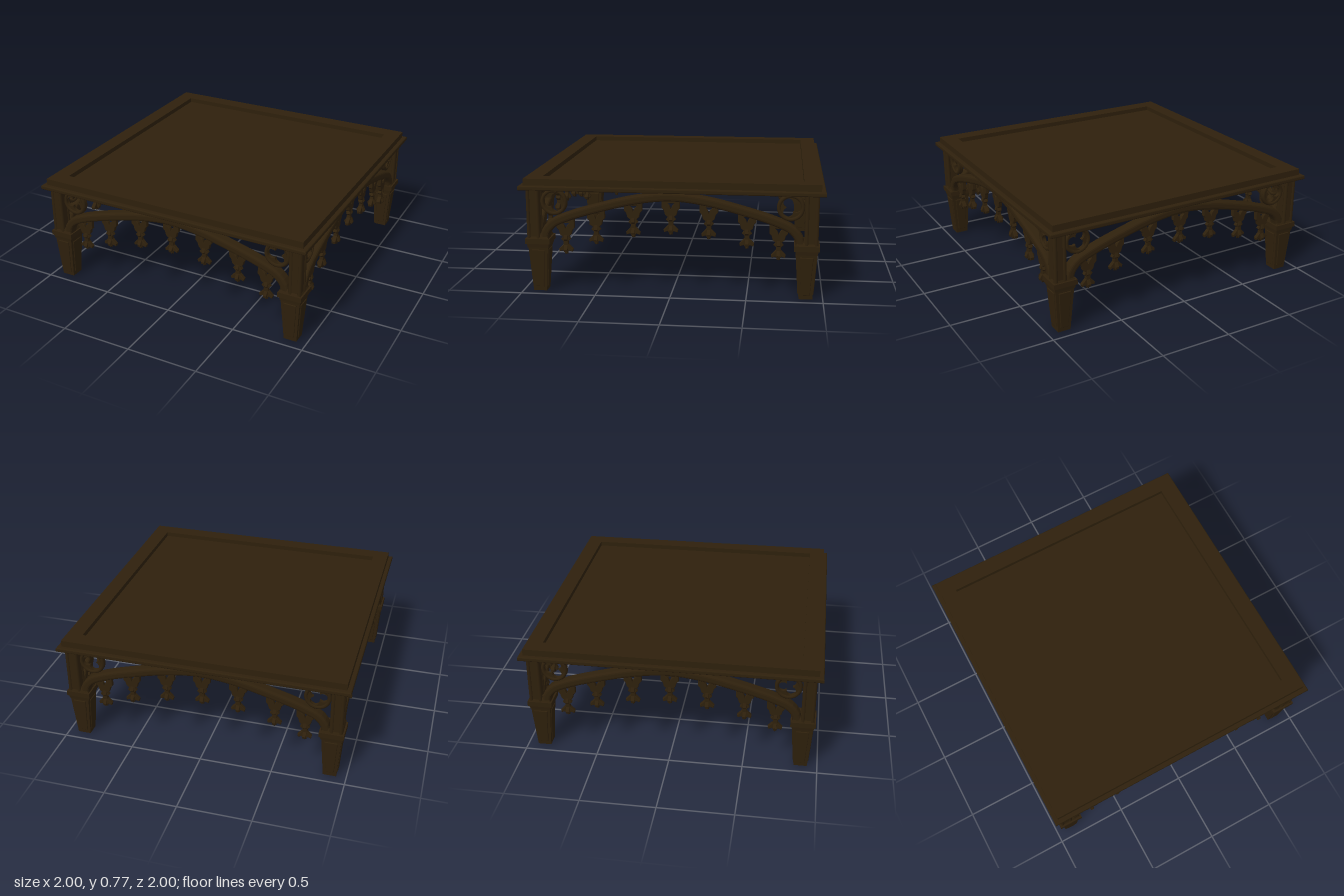
import * as THREE from 'three';

const wood = new THREE.MeshStandardMaterial({ color: 0x2e200c });
wood.name = 'dark wood';
const lining = new THREE.MeshStandardMaterial({ color: 0x61432f });
lining.name = 'underside lining';

const PLANE = 0.915; // distance of each arcade from the centre
const LEG = 0.887; // distance of each leg from the centre
const POST = PLANE - LEG; // posts sit towards the outer corner

function add(parent, name, geometry, x = 0, y = 0, z = 0, material = wood) {
  const mesh = new THREE.Mesh(geometry, material);
  mesh.name = name;
  mesh.position.set(x, y, z);
  parent.add(mesh);
  return mesh;
}

// extrusion centred on z = 0, total thickness = depth
function slab(shape, depth, bevel = 0) {
  const g = new THREE.ExtrudeGeometry(shape, {
    depth: depth - 2 * bevel, curveSegments: 24, bevelEnabled: bevel > 0,
    bevelThickness: bevel, bevelSize: bevel, bevelOffset: -bevel, bevelSegments: 3,
  });
  return g.translate(0, 0, -depth / 2 + bevel);
}

const toPoints = list => list.map(p => new THREE.Vector2(...p));
const square = h => toPoints([[-h, -h], [h, -h], [h, h], [-h, h]]);

// mirrored outline from one side, closed at the bottom by a tip
const mirrored = (side, tip) =>
  new THREE.Shape(toPoints([...side.map(([x, y]) => [-x, y]), tip, ...side.slice().reverse()]));

// square tapered block, standing on y = 0
function taper(top, bottom, height) {
  const g = new THREE.CylinderGeometry(top * Math.SQRT1_2, bottom * Math.SQRT1_2, height, 4, 1).toNonIndexed();
  g.rotateY(Math.PI / 4).translate(0, height / 2, 0);
  g.computeVertexNormals();
  return g;
}

// centre line of the flattened arch
const half = [[0.845, 0.35], [0.835, 0.41], [0.79, 0.467], [0.69, 0.515], [0.47, 0.583], [0.22, 0.643]];
const archLine = new THREE.CatmullRomCurve3([
  ...half.map(([x, y]) => new THREE.Vector3(-x, y, 0)),
  new THREE.Vector3(0, 0.666, 0),
  ...half.slice().reverse().map(([x, y]) => new THREE.Vector3(x, y, 0)),
]);

function archBand(width) {
  const outer = [], inner = [];
  for (let i = 0; i <= 60; i++) {
    const p = archLine.getPointAt(i / 60), t = archLine.getTangentAt(i / 60);
    outer.push(new THREE.Vector2(p.x - t.y * width / 2, p.y + t.x * width / 2));
    inner.push(new THREE.Vector2(p.x + t.y * width / 2, p.y - t.x * width / 2));
  }
  return new THREE.Shape([...inner, ...outer.reverse()]);
}

// hanging ornament: pierced bracket, stem and pointed leaf
function pendantShape() {
  const shape = mirrored([[0.06, 0.02], [0.06, -0.045], [0.046, -0.06], [0.038, -0.09], [0.02, -0.105], [0.032, -0.122],
    [0.015, -0.138], [0.017, -0.158], [0.048, -0.19], [0.044, -0.208], [0.02, -0.2]], [0, -0.226]);
  shape.holes.push(new THREE.Path(toPoints(
    [[-0.026, -0.012], [0.026, -0.012], [0.009, -0.03], [0, -0.052], [-0.009, -0.03]])));
  return shape;
}

// narrower leaf crossing the pendant
const finialShape = mirrored([[0.01, -0.08], [0.024, -0.122], [0.01, -0.138], [0.012, -0.158],
  [0.032, -0.19], [0.028, -0.206], [0.012, -0.2]], [0, -0.226]);

// circular rosette pierced by a trefoil
function rosetteShape() {
  const shape = new THREE.Shape().absarc(0, 0, 0.088, 0, Math.PI * 2);
  const pts = [];
  for (let i = 0; i < 48; i++) {
    const phi = ((i % 16) / 16 - 0.5) * Math.PI * 2 / 3, a = i * Math.PI / 24;
    const r = 0.035 * Math.cos(phi) + Math.sqrt(0.032 ** 2 - (0.035 * Math.sin(phi)) ** 2);
    pts.push(new THREE.Vector2(r * Math.cos(a), r * Math.sin(a)));
  }
  shape.holes.push(new THREE.Path(pts));
  return shape;
}

const archGeo = slab(archBand(0.058), 0.078, 0.018);
const pendantGeo = slab(pendantShape(), 0.028, 0.004);
const finialGeo = slab(finialShape, 0.024, 0.003).rotateY(Math.PI / 2);
const rosetteGeo = slab(rosetteShape(), 0.024);
const rimGeo = new THREE.TorusGeometry(0.077, 0.013, 8, 32);

function makeArcade(flipped) {
  const arcade = new THREE.Group();
  arcade.name = 'arcade';
  add(arcade, 'arch', archGeo);
  const tops = [[0, 0.635], [0.249, 0.612], [0.498, 0.555], [0.704, 0.483]];
  for (const [x, y] of tops) for (const s of x ? [-1, 1] : [1]) {
    add(arcade, 'pendant', pendantGeo, s * x, y);
    add(arcade, 'pendantLeaf', finialGeo, s * x, y);
  }
  for (const s of [-1, 1]) {
    const rosette = add(arcade, 'rosette', rosetteGeo, s * 0.778, 0.612);
    if (flipped && s > 0) rosette.rotation.z = Math.PI;
    for (const z of [-0.008, 0.008]) add(arcade, 'rosetteRim', rimGeo, s * 0.778, 0.612, z);
  }
  return arcade;
}

function makeLeg() {
  const leg = new THREE.Group();
  leg.name = 'leg';
  add(leg, 'foot', taper(0.134, 0.09, 0.32));
  // raised tapered panel on each face
  const panel = new THREE.Shape(toPoints([[-0.028, 0.03], [0.028, 0.03], [0.044, 0.29], [-0.044, 0.29]]));
  for (let i = 0; i < 4; i++) {
    const g = slab(panel, 0.012, 0.004).rotateX(Math.atan(0.022 / 0.32)).translate(0, 0, 0.0445).rotateY(i * Math.PI / 2);
    add(leg, 'footPanel', g);
  }
  add(leg, 'lowerCollar', taper(0.15, 0.14, 0.03), 0, 0.305);
  add(leg, 'collar', new THREE.BoxGeometry(0.166, 0.035, 0.166), 0, 0.35);
  add(leg, 'upperCollar', taper(0.12, 0.145, 0.03), 0, 0.365);
  // post with corner reeds
  add(leg, 'post', new THREE.BoxGeometry(0.076, 0.34, 0.076), POST, 0.54, POST);
  for (const x of [-1, 1]) for (const z of [-1, 1])
    add(leg, 'postReed', new THREE.CylinderGeometry(0.014, 0.014, 0.34, 10), POST + x * 0.031, 0.54, POST + z * 0.031);
  return leg;
}

function makeTop() {
  const top = new THREE.Group();
  top.name = 'tableTop';
  add(top, 'lowerEdge', slab(new THREE.Shape(square(1)), 0.03, 0.008).rotateX(-Math.PI / 2), 0, 0.715);
  // raised border around a sunken panel
  const frame = new THREE.Shape(square(0.97));
  frame.holes.push(new THREE.Path(square(0.86)));
  add(top, 'frame', slab(frame, 0.045).rotateX(-Math.PI / 2), 0, 0.7515);
  add(top, 'panel', new THREE.BoxGeometry(1.72, 0.02, 1.72), 0, 0.732);
  // lining with an uneven edge
  const edge = [];
  for (let i = 0; i < 72; i++) {
    const a = i * Math.PI / 36, c = Math.cos(a), s = Math.sin(a);
    const r = 0.86 / (Math.abs(c) ** 10 + Math.abs(s) ** 10) ** 0.1 + 0.02 * Math.sin(i * 2.3) + 0.015 * Math.sin(i * 1.1);
    edge.push(new THREE.Vector2(r * c, r * s));
  }
  add(top, 'lining', slab(new THREE.Shape(edge), 0.006).rotateX(Math.PI / 2), 0, 0.698, 0, lining);
  return top;
}

export function createModel() {
  const model = new THREE.Group();
  model.name = 'lowTable';
  model.add(makeTop());
  for (let i = 0; i < 4; i++) {
    const angle = i * Math.PI / 2;
    const leg = makeLeg();
    leg.position.set(LEG * (i < 2 ? 1 : -1), 0, LEG * (i === 0 || i === 3 ? 1 : -1));
    leg.rotation.y = angle;
    model.add(leg);
    // one trefoil is turned on the left and back arcades
    const arcade = makeArcade(i === 1 || i === 2);
    arcade.position.set(PLANE * Math.sin(angle), 0, PLANE * Math.cos(angle));
    arcade.rotation.y = angle;
    model.add(arcade);
  }
  return model;
}
